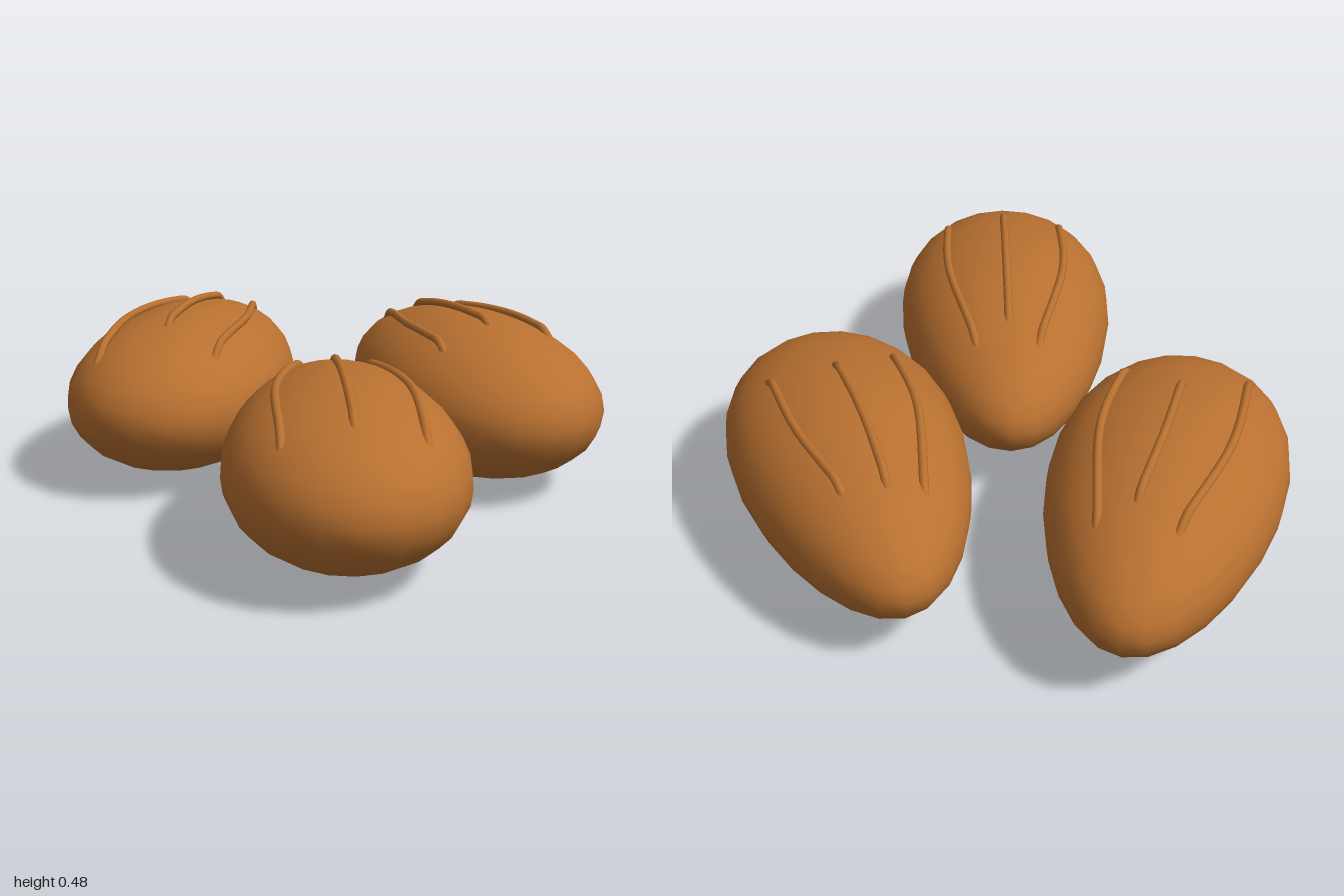
import * as THREE from 'three';
import { mergeVertices } from 'three/addons/utils/BufferGeometryUtils.js';

const W = 0.314, H = 0.23, L = 0.58; // half width, half height, half length

const taperX = u => 1 + 0.2 * u;
const taperY = u => 1 + 0.08 * u;

// Egg-shaped shell: a sphere tapered towards -z
function shellGeometry() {
  let g = new THREE.SphereGeometry(1, 24, 16);
  g.deleteAttribute('uv');
  g.deleteAttribute('normal');
  g = mergeVertices(g, 1e-4);
  const p = g.attributes.position;
  for (let i = 0; i < p.count; i++) {
    const u = p.getZ(i);
    p.setXYZ(i, p.getX(i) * W * taperX(u), p.getY(i) * H * taperY(u), u * L);
  }
  g.computeVertexNormals();
  return g;
}

// Height of the shell's top above its middle
function topHeight(x, z) {
  const u = z / L, v = x / (W * taperX(u));
  return H * taperY(u) * Math.sqrt(Math.max(0, 1 - u * u - v * v));
}

// Ridge following the top, its ends sinking into the shell
function ridgeGeometry(points, lift) {
  const plan = new THREE.CatmullRomCurve3(points);
  const path = [];
  for (let i = 0; i <= 12; i++) {
    const q = plan.getPoint(i / 12);
    const sink = i === 0 || i === 12 ? -0.014 : lift;
    path.push(new THREE.Vector3(q.x, topHeight(q.x, q.z) + sink, q.z));
  }
  return new THREE.TubeGeometry(new THREE.CatmullRomCurve3(path), 32, 0.012, 8);
}

export function createModel() {
  const model = new THREE.Group();
  model.name = 'almonds';
  const brown = new THREE.MeshStandardMaterial({ color: 0xb87030 });
  brown.name = 'almond brown';

  // Ridges are plan positions [x, z] from the narrow end to the round end
  const almonds = [
    { name: 'frontAlmond', x: -0.02, z: 0.415, turn: 0, lift: 0.003, ridges: [
      [[-0.10, 0.05], [-0.19, 0.42], [-0.195, 0.78]],
      [[-0.02, 0.13], [-0.02, 0.45], [-0.02, 0.78]],
      [[0.07, 0.06], [0.15, 0.42], [0.155, 0.78]]] },
    { name: 'rightAlmond', x: -0.41, z: -0.44, turn: -0.28, lift: 0.009, ridges: [
      [[-0.40, -0.79], [-0.57, -0.49], [-0.68, -0.11]],
      [[-0.31, -0.70], [-0.40, -0.47], [-0.48, -0.21]],
      [[-0.21, -0.74], [-0.245, -0.38], [-0.345, -0.07]]] },
    { name: 'leftAlmond', x: 0.41, z: -0.29, turn: 0.28, lift: 0.009, ridges: [
      [[0.21, -0.60], [0.235, -0.27], [0.31, -0.01]],
      [[0.30, -0.61], [0.37, -0.37], [0.46, -0.11]],
      [[0.41, -0.62], [0.54, -0.40], [0.64, -0.13]]] },
  ];

  const shell = shellGeometry();
  const up = new THREE.Vector3(0, 1, 0);
  for (const a of almonds) {
    const group = new THREE.Group();
    group.name = a.name;
    group.position.set(a.x, H, a.z);
    group.rotation.y = a.turn;

    const body = new THREE.Mesh(shell, brown);
    body.name = 'shell';
    group.add(body);

    a.ridges.forEach((ridge, i) => {
      const local = ridge.map(([x, z]) =>
        new THREE.Vector3(x - a.x, 0, z - a.z).applyAxisAngle(up, -a.turn));
      const mesh = new THREE.Mesh(ridgeGeometry(local, a.lift), brown);
      mesh.name = `ridge${i + 1}`;
      group.add(mesh);
    });
    model.add(group);
  }
  return model;
}
